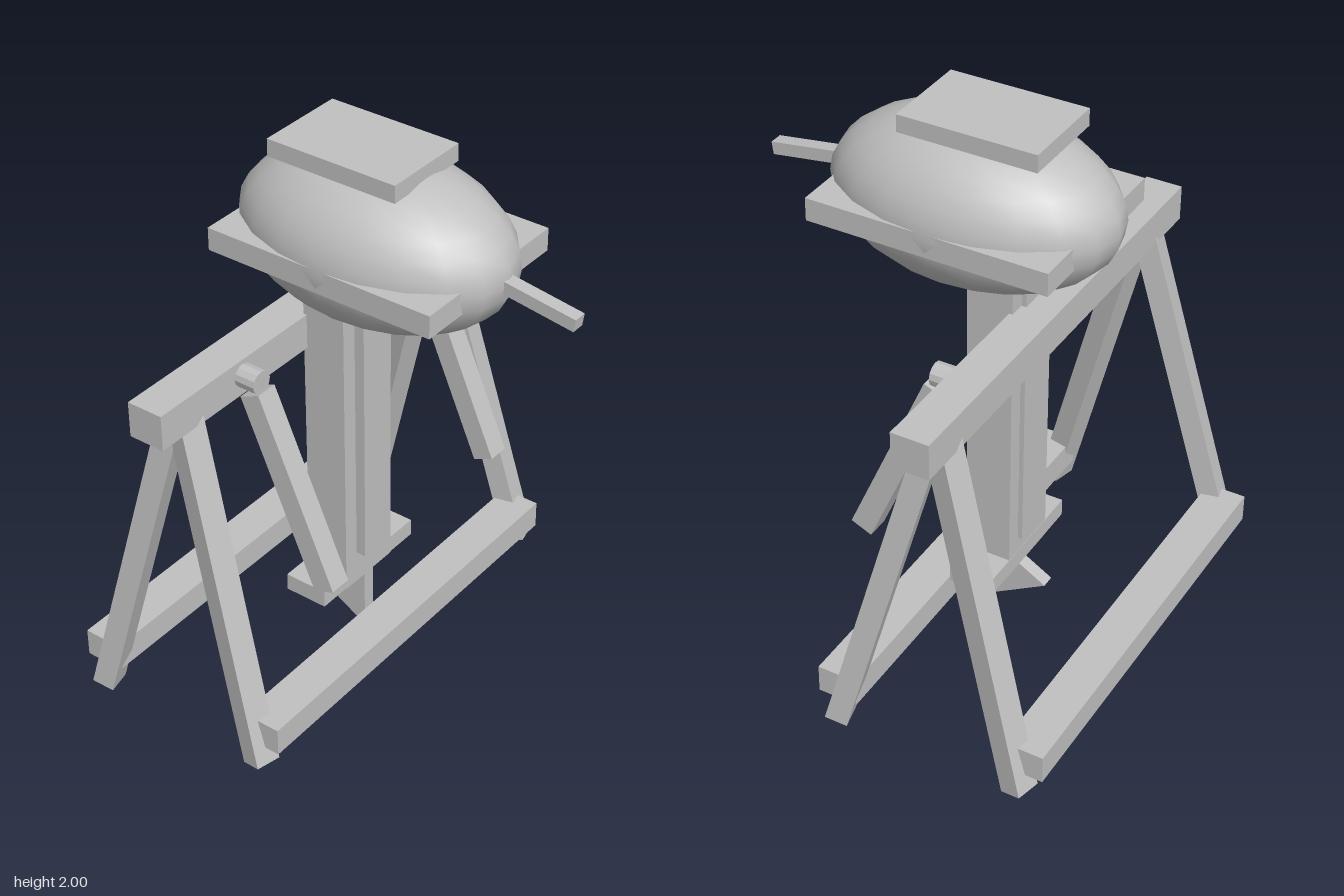
import * as THREE from 'three';

export function createModel() {
  const model = new THREE.Group();
  const grey = new THREE.MeshStandardMaterial({ name: 'plain grey', color: 0xc0c0c0 });

  const add = (name, geometry) => {
    const mesh = new THREE.Mesh(geometry, grey);
    mesh.name = name;
    model.add(mesh);
    return mesh;
  };
  // Box given by its extents on each axis
  const block = (name, [x0, x1], [y0, y1], [z0, z1]) => {
    const mesh = add(name, new THREE.BoxGeometry(x1 - x0, y1 - y0, z1 - z0));
    mesh.position.set((x0 + x1) / 2, (y0 + y1) / 2, (z0 + z1) / 2);
    return mesh;
  };
  // Square-section bar between two points, its width kept horizontal
  const bar = (name, from, to, width, depth) => {
    const a = new THREE.Vector3(...from), b = new THREE.Vector3(...to);
    const dir = b.clone().sub(a);
    const mesh = add(name, new THREE.BoxGeometry(width, dir.length(), depth));
    dir.normalize();
    const side = new THREE.Vector3(0, 1, 0).cross(dir).normalize();
    const face = side.clone().cross(dir);
    mesh.quaternion.setFromRotationMatrix(new THREE.Matrix4().makeBasis(side, dir, face));
    mesh.position.copy(a).add(b).multiplyScalar(0.5);
    return mesh;
  };

  // Trestle frame
  block('topBeam', [-0.855, 0.855], [1.235, 1.365], [-0.37, -0.235]);
  block('frontRail', [-0.775, 0.775], [0.085, 0.19], [-0.025, 0.122]);
  block('backRail', [-0.775, 0.775], [0.085, 0.19], [-0.735, -0.588]);
  for (const s of [-1, 1]) {
    for (const f of [-1, 1]) {
      const midZ = -0.303;
      bar(f > 0 ? 'frontLeg' : 'backLeg',
        [s * 0.771, 0.014, midZ + f * 0.347],
        [s * 0.694, 1.26, midZ + f * 0.018], 0.092, 0.08);
    }
  }

  // Swinging arms on round pivots
  for (const s of [-1, 1]) {
    bar('arm', [s * 0.46, 0.603, 0.112], [s * 0.46, 1.27, -0.177], 0.082, 0.082);
    const pivot = add('armPivot', new THREE.CylinderGeometry(0.042, 0.042, 0.09, 12).toNonIndexed());
    pivot.geometry.computeVertexNormals();
    pivot.rotation.x = Math.PI / 2;
    pivot.position.set(s * 0.46, 1.308, -0.203);
  }

  // Body post with a raised centre panel and a foot bar
  block('body', [-0.13, 0.13], [0.272, 1.5], [-0.248, -0.083]);
  block('bodyPanel', [-0.07, 0.07], [0.4, 1.5], [-0.265, -0.045]);
  block('footBar', [-0.255, 0.255], [0.275, 0.34], [-0.249, -0.084]);

  // Triangular fin pointing backwards
  const fin = new THREE.Shape([
    new THREE.Vector2(0.083, 0.038),
    new THREE.Vector2(0.333, 0.183),
    new THREE.Vector2(0.083, 0.328),
  ]);
  const finGeometry = new THREE.ExtrudeGeometry(fin, { depth: 0.05, bevelEnabled: false });
  finGeometry.translate(0, 0, -0.025).rotateY(Math.PI / 2);
  add('fin', finGeometry);

  // Egg-shaped head with brim, cap and beak
  const head = add('head', new THREE.SphereGeometry(1, 20, 16));
  head.scale.set(0.33, 0.29, 0.515);
  head.position.set(0, 1.683, -0.04);
  block('brim', [-0.325, 0.325], [1.622, 1.705], [-0.475, 0.4]);
  block('cap', [-0.168, 0.168], [1.937, 2], [-0.348, 0.153]);
  bar('beak', [0, 1.692, 0.38], [0, 1.641, 0.729], 0.05, 0.046);

  return model;
}
